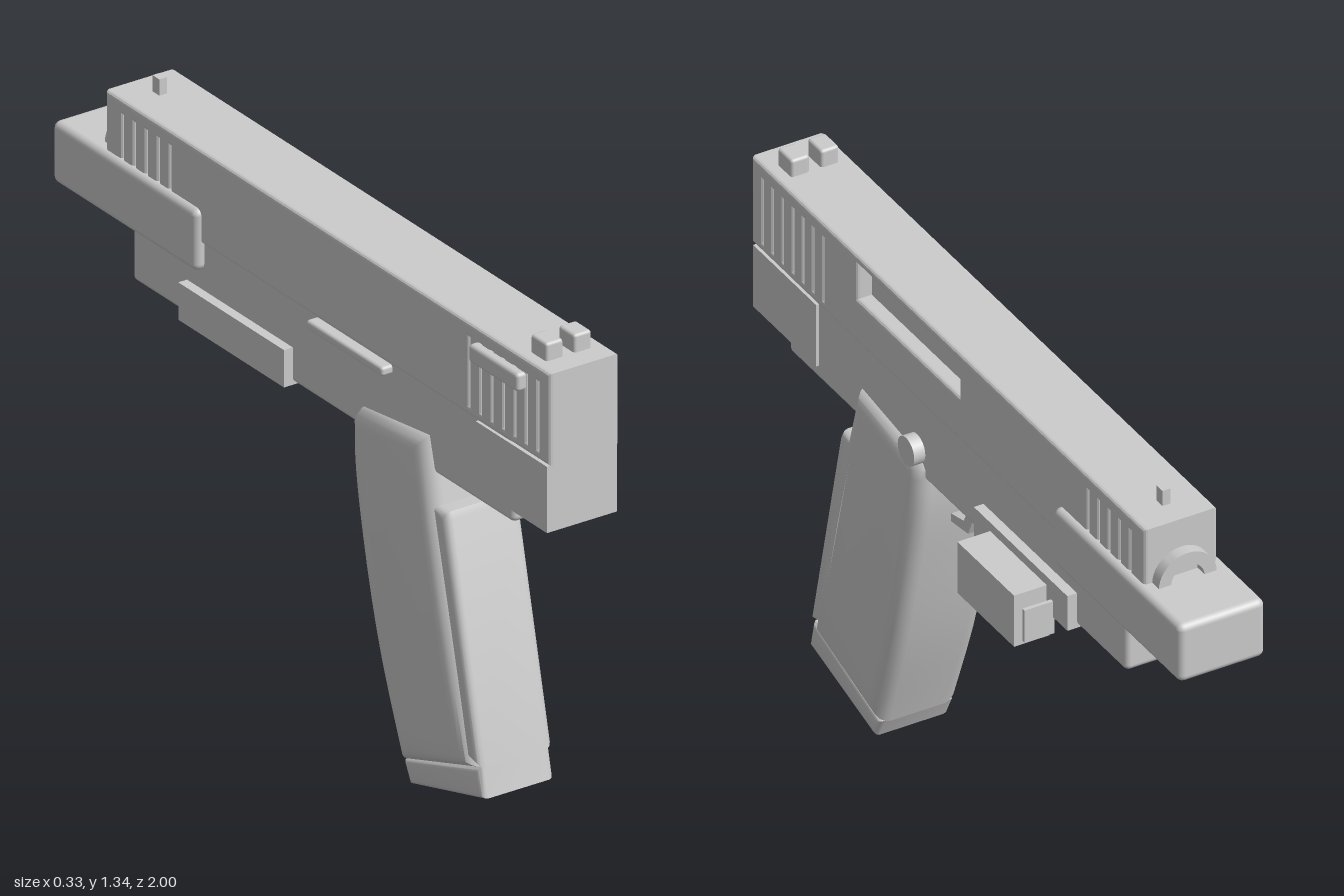
import * as THREE from 'three';
import { toCreasedNormals } from 'three/addons/utils/BufferGeometryUtils.js';
import { RoundedBoxGeometry } from 'three/addons/geometries/RoundedBoxGeometry.js';

const CX = -0.04; // centre plane of the body

export function createModel() {
  const group = new THREE.Group();
  const grey = new THREE.MeshStandardMaterial({ color: 0xcccccc });
  grey.name = 'light grey';

  const add = (name, geometry) => {
    const mesh = new THREE.Mesh(geometry, grey);
    mesh.name = name;
    group.add(mesh);
  };

  // Box given by its extents, with optional rounded edges
  const box = (name, x0, x1, y0, y1, z0, z1, r = 0) => {
    const size = [x1 - x0, y1 - y0, z1 - z0];
    const g = r ? new RoundedBoxGeometry(...size, 3, r) : new THREE.BoxGeometry(...size);
    g.translate((x0 + x1) / 2, (y0 + y1) / 2, (z0 + z1) / 2);
    add(name, g);
  };

  const outline = (pts) => new THREE.Shape(pts.map(([z, y]) => new THREE.Vector2(z, y)));
  const rect = (z0, z1, y0, y1) => [[z0, y0], [z1, y0], [z1, y1], [z0, y1]];

  // Side profile in (z, y) extruded across x
  const extrudeX = (shape, x0, x1, bevel = 0, segments = 3) => {
    const depth = x1 - x0 - 2 * bevel;
    const g = new THREE.ExtrudeGeometry(shape, {
      depth, bevelEnabled: bevel > 0, bevelSize: bevel, bevelThickness: bevel,
      bevelOffset: -bevel, bevelSegments: segments,
    });
    g.translate(0, 0, -depth / 2);
    g.rotateY(-Math.PI / 2);
    g.translate((x0 + x1) / 2, 0, 0);
    return g;
  };

  // Slide: core between two side plates with grip grooves, port on the left side
  const slideRect = rect(-0.806, 1, 1.055, 1.295);
  add('slideCore', extrudeX(outline(slideRect), -0.112, 0.018));
  const slidePlate = (name, x0, x1, port) => {
    const shape = outline(slideRect);
    const cut = (z0, z1, y0, y1) => shape.holes.push(outline(rect(z0, z1, y0, y1)));
    for (let i = 0; i < 7; i++) cut(0.67 + i * 0.0465, 0.673 + i * 0.0465, 1.08, 1.256);
    for (let i = 0; i < 5; i++) cut(-0.74 + i * 0.0485, -0.737 + i * 0.0485, 1.08, 1.256);
    if (port) cut(0.045, 0.516, 1.174, 1.273);
    add(name, toCreasedNormals(extrudeX(shape, x0, x1, 0.01), 0.2));
  };
  slidePlate('slideLeftSide', -0.01, 0.059, true);
  slidePlate('slideRightSide', -0.138, -0.07, false);

  // Muzzle ring
  const ring = new THREE.Shape().absarc(0, 0, 0.078, 0, Math.PI * 2);
  ring.holes.push(new THREE.Path().absarc(0, 0, 0.045, 0, Math.PI * 2, true));
  const ringGeo = new THREE.ExtrudeGeometry(ring, { depth: 0.06, bevelEnabled: false, curveSegments: 20 });
  ringGeo.translate(CX, 1.14, -0.837);
  add('muzzleRing', toCreasedNormals(ringGeo, 0.6));

  // Sights
  box('rearSightRight', -0.105, -0.056, 1.28, 1.341, 0.875, 0.94, 0.008);
  box('rearSightLeft', -0.026, 0.024, 1.28, 1.341, 0.875, 0.94, 0.008);
  box('frontSight', -0.052, -0.03, 1.285, 1.337, -0.738, -0.71);

  // Frame and its attached blocks
  box('frame', -0.13, 0.052, 0.84, 1.07, -0.71, 0.84, 0.015);
  box('rearBlock', -0.138, 0.06, 0.88, 1.052, 0.7, 0.99);
  box('frontBlock', -0.155, 0.078, 0.983, 1.143, -1, -0.415, 0.018);
  box('rail', -0.155, 0.078, 0.835, 0.932, -0.485, -0.055);
  box('sideLamp', 0.07, 0.166, 0.765, 0.908, -0.39, -0.13);
  box('lampFin', 0.075, 0.155, 0.79, 0.88, -0.42, -0.41);
  box('slideCatch', -0.16, -0.12, 1.028, 1.052, 0.04, 0.35, 0.008);
  box('sideLever', -0.16, -0.12, 1.212, 1.26, 0.7, 0.9, 0.01);

  // Grip with a curved front and slightly swelling sides
  const front = new THREE.CatmullRomCurve3(
    [[0.405, 0.05], [0.315, 0.32], [0.25, 0.58], [0.215, 0.76], [0.207, 0.87]]
      .map(([z, y]) => new THREE.Vector3(z, y, 0))
  ).getPoints(14).map((p) => [p.x, p.y]);
  const gripShape = outline([
    ...front, [0.23, 0.9], [0.505, 0.937],
    [0.555, 0.735], [0.603, 0.542], [0.651, 0.348], [0.7, 0.15],
  ].reverse());
  const gripGeo = extrudeX(gripShape, -0.165, 0.085, 0.045, 5);
  const pos = gripGeo.attributes.position;
  for (let i = 0; i < pos.count; i++) {
    const t = (pos.getY(i) - 0.5) / 0.45;
    pos.setX(i, CX + (pos.getX(i) - CX) * (1 - 0.08 * t * t));
  }
  add('grip', toCreasedNormals(gripGeo, 0.7));

  const strap = outline([[0.67, 0.17], [0.727, 0.16], [0.594, 0.75], [0.585, 0.768], [0.53, 0.768]]);
  add('backStrap', toCreasedNormals(extrudeX(strap, -0.147, 0.063, 0.02), 0.7));

  const cap = outline([[0.405, 0.055], [0.432, 0], [0.734, 0.083], [0.716, 0.16]]);
  add('gripCap', toCreasedNormals(extrudeX(cap, -0.14, 0.061, 0.014), 0.7));

  // Pivot pin
  const pin = new THREE.CylinderGeometry(0.038, 0.038, 0.08, 24);
  pin.rotateZ(Math.PI / 2);
  pin.translate(0.042, 0.912, 0.25);
  add('pivotPin', pin);

  // Trigger: thin bent strip
  const trigger = outline([
    [0.18, 0.85], [0.16, 0.84], [0.103, 0.797], [0.142, 0.708], [0.22, 0.698],
    [0.22, 0.72], [0.162, 0.733], [0.135, 0.79], [0.19, 0.835],
  ]);
  add('trigger', extrudeX(trigger, -0.058, -0.022));

  return group;
}
